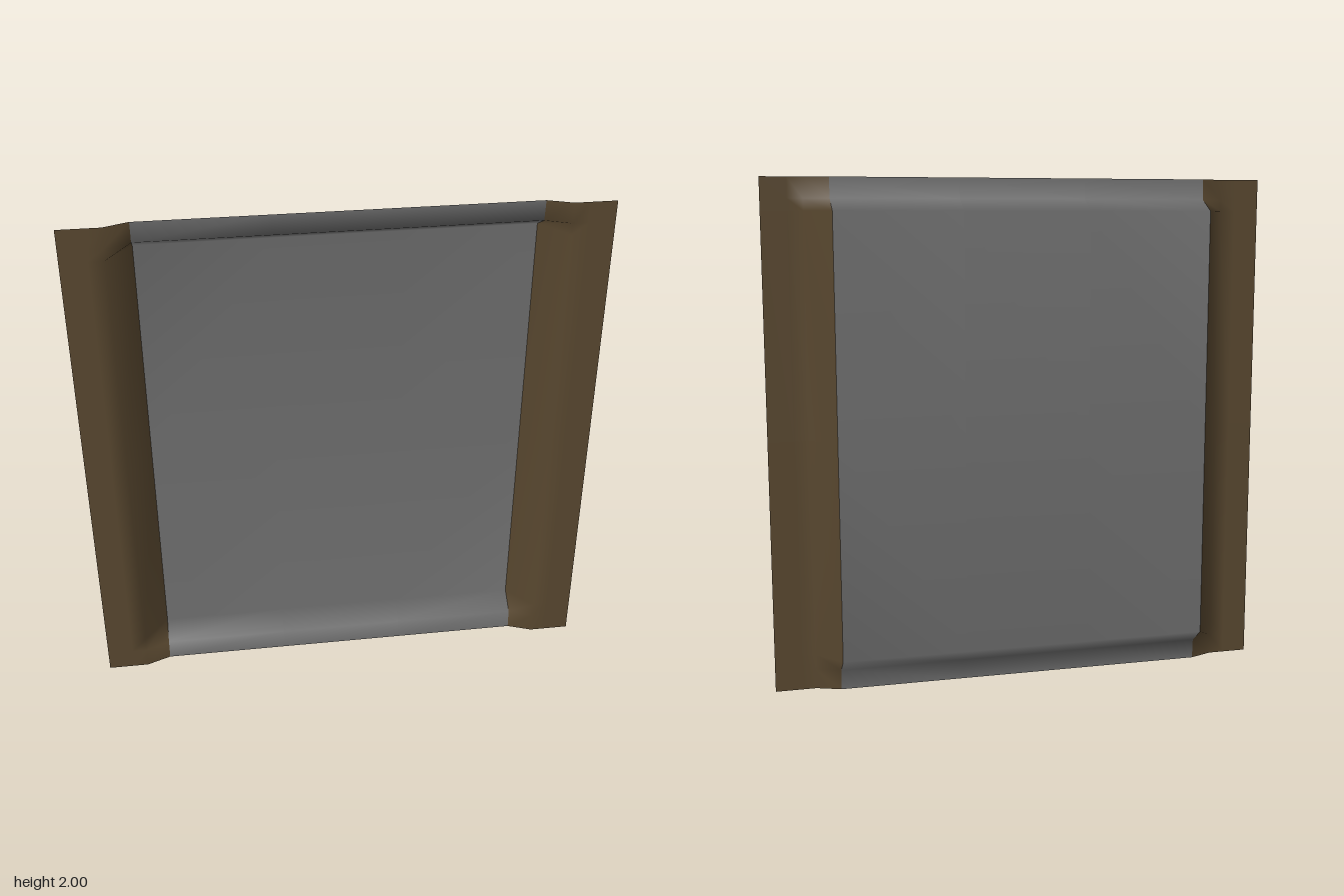
import * as THREE from 'three';

// Height rows: end ledge, ramp, recessed field, ramp, end ledge [y, z]
const rows = [[0, 0.025], [0.08, 0.02], [0.14, -0.057], [1.0, -0.059], [1.875, -0.062], [1.92, 0.02], [2, 0.025]];
const RIM = 0.062;

// Smooth open sheet over the rows; zAt gives the depth of each column
function sheet(xs, zAt, material, name) {
  const pos = [], index = [], n = xs.length;
  for (const [y, z] of rows) for (const x of xs) pos.push(x, y, zAt(x, z));
  for (let r = 0; r < rows.length - 1; r++) {
    for (let c = 0; c < n - 1; c++) {
      const a = r * n + c, b = a + 1, d = a + n, e = d + 1;
      index.push(a, b, e, a, e, d);
    }
  }
  const geometry = new THREE.BufferGeometry();
  geometry.setAttribute('position', new THREE.Float32BufferAttribute(pos, 3));
  geometry.setIndex(index);
  geometry.computeVertexNormals();
  const mesh = new THREE.Mesh(geometry, material);
  mesh.name = name;
  return mesh;
}

export function createModel() {
  const group = new THREE.Group();
  group.name = 'recessedPanel';
  const grey = new THREE.MeshStandardMaterial({ color: 0x6e6e6e, side: THREE.DoubleSide });
  grey.name = 'grey';
  const brown = new THREE.MeshStandardMaterial({ color: 0x58472f, side: THREE.DoubleSide });
  brown.name = 'brown';

  // Recessed centre with ramps to the top and bottom ledges
  group.add(sheet([-0.745, -0.25, 0.25, 0.745], (x, z) => z, grey, 'centrePanel'));

  // Side rims: flat outside, sloping in to meet the centre
  const rimZ = (x, z) => (Math.abs(x) < 0.8 ? z : RIM);
  group.add(sheet([0.745, 0.84, 0.9, 1], rimZ, brown, 'leftRim'));
  group.add(sheet([-1, -0.9, -0.84, -0.745], rimZ, brown, 'rightRim'));
  return group;
}
